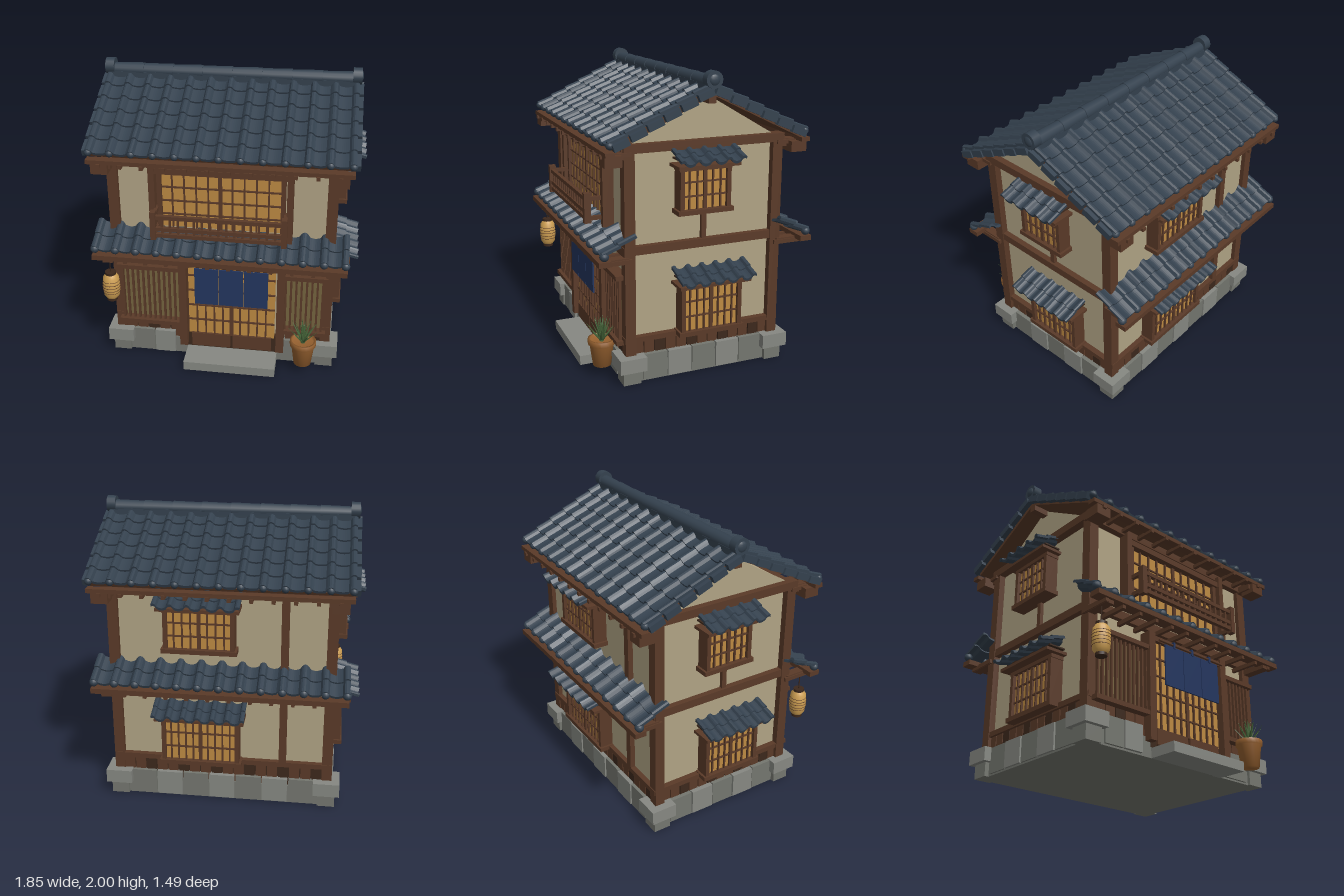
import * as THREE from 'three';

const mat = (color, extra = {}) => new THREE.MeshStandardMaterial({ color, ...extra });
const M = {
  wood: mat(0x5a3a28), dark: mat(0x3c281c), wall: mat(0xb0a384), amber: mat(0xbd8a42), blind: mat(0x75643f),
  tile: mat(0x34414e), stone: mat(0x868882), stone2: mat(0x74766f), cloth: mat(0x24365f), pot: mat(0x95602f),
  leaf: mat(0x47663a, { side: THREE.DoubleSide }), lantern: mat(0xcfa053),
};

function add(parent, name, geo, material, x = 0, y = 0, z = 0) {
  const m = new THREE.Mesh(geo, material);
  m.name = name;
  m.position.set(x, y, z);
  parent.add(m);
  return m;
}
// box given by its extents
const box = (p, name, m, x0, x1, y0, y1, z0, z1) => add(p, name,
  new THREE.BoxGeometry(x1 - x0, y1 - y0, z1 - z0), m, (x0 + x1) / 2, (y0 + y1) / 2, (z0 + z1) / 2);
function group(parent, name, ry = 0) {
  const g = new THREE.Group();
  g.name = name;
  g.rotation.y = ry;
  parent.add(g);
  return g;
}

// one course of tiles: rolls joined by sagging pans, extruded down the slope
function courseGeometry(width, cols, length, r, sag) {
  const period = width / cols, edge = 0.7 * r, n = cols * 12, top = [], low = [];
  for (let i = 0; i <= n; i++) {
    const x = -width / 2 - edge + (width + 2 * edge) * i / n;
    const u = (x + width / 2) / period, d = Math.abs(u - Math.round(u)) * period;
    const h = d < r ? Math.sqrt(r * r - d * d) : -sag * Math.sin(Math.PI * (d - r) / (period - 2 * r));
    top.push(new THREE.Vector2(x, h + 0.012));
    low.unshift(new THREE.Vector2(x, h - 0.006));
  }
  return new THREE.ExtrudeGeometry(new THREE.Shape([...top, ...low]), { depth: length, bevelEnabled: false });
}
// overlapping courses running from the local origin down towards +z
function tiledSlope(parent, name, { width, cols, y, z, y2, z2, rows, r, sag, caps }) {
  const g = group(parent, name), L = Math.hypot(z2 - z, y - y2), step = L / rows;
  g.position.set(0, y, z);
  g.rotation.x = Math.atan2(y - y2, z2 - z);
  const geo = courseGeometry(width, cols, step * 1.08, r, sag);
  for (let i = 0; i < rows; i++) add(g, 'tileCourse', geo, M.tile, 0, 0, i * step).rotation.x = -0.1;
  if (caps) for (let i = 0; i <= cols; i++)
    add(g, 'eaveCap', new THREE.SphereGeometry(r * 1.1, 10, 8), M.tile, -width / 2 + i * width / cols, 0.016, L);
  return g;
}

// lit panel with glazing bars
function lattice(p, x0, x1, y0, y1, z, nv, nh) {
  box(p, 'paperPanel', M.amber, x0, x1, y0, y1, z - 0.015, z);
  for (let i = 1; i < nv; i++) {
    const x = x0 + (x1 - x0) * i / nv, t = i * 2 === nv ? 0.012 : 0.005;
    box(p, 'latticeBar', M.wood, x - t, x + t, y0, y1, z, z + 0.014);
  }
  for (let i = 1; i < nh; i++) {
    const y = y0 + (y1 - y0) * i / nh;
    box(p, 'latticeRail', M.wood, x0, x1, y - 0.005, y + 0.005, z, z + 0.011);
  }
}
// bay window with lintel, sill and small tiled awning
function bayWindow(face, cx, w, y0, y1, wall) {
  const g = group(face, 'bayWindow'), a = w / 2;
  g.position.set(cx, 0, wall);
  lattice(g, -a, a, y0, y1, 0.07, Math.round(w / 0.105) * 2, 3);
  for (const s of [-1, 1]) box(g, 'windowJamb', M.wood, s * a - 0.014, s * a + 0.014, y0, y1, 0, 0.095);
  box(g, 'sill', M.wood, -a - 0.03, a + 0.03, y0 - 0.025, y0 + 0.005, 0, 0.105);
  box(g, 'windowHead', M.wood, -a - 0.02, a + 0.02, y1 - 0.015, y1 + 0.01, 0, 0.095);
  box(g, 'lintel', M.wood, -a - 0.05, a + 0.05, y1 + 0.01, y1 + 0.03, 0, 0.155);
  tiledSlope(g, 'awning', { width: w + 0.09, cols: Math.round((w + 0.09) / 0.105), y: y1 + 0.108, z: 0.02,
    y2: y1 + 0.045, z2: 0.195, rows: 2, r: 0.02, sag: 0.012 });
  box(g, 'awningBoard', M.dark, -a - 0.03, a + 0.03, y1 + 0.055, y1 + 0.065, 0, 0.12);
}
// row of wainscot boards
function planks(p, x0, x1, z) {
  const n = Math.round((x1 - x0) / 0.075), w = (x1 - x0) / n;
  box(p, 'wainscotBack', M.dark, x0, x1, 0.12, 0.28, z - 0.03, z);
  for (let i = 0; i < n; i++)
    box(p, 'wainscotPlank', i % 3 === 2 ? M.dark : M.wood, x0 + i * w + 0.004, x0 + (i + 1) * w - 0.004, 0.13, 0.28, z, z + 0.012);
}
function stones(p, x0, x1, z) {
  const n = Math.round((x1 - x0) / 0.18), w = (x1 - x0) / n;
  for (let i = 0; i < n; i++)
    box(p, 'footingStone', i % 2 ? M.stone : M.stone2, x0 + i * w + 0.004, x0 + (i + 1) * w - 0.004, 0.012, 0.186, z - 0.06, z + (i % 2) * 0.006);
}

export function createModel() {
  const root = new THREE.Group();
  root.name = 'townHouse';

  // footing and core walls
  box(root, 'footing', M.stone2, -0.75, 0.75, 0, 0.13, -0.55, 0.55);
  box(root, 'walls', M.wall, -0.71, 0.71, 0.12, 1.54, -0.515, 0.515);
  for (const sx of [-1, 1]) for (const sz of [-1, 1]) {
    const c = group(root, 'corner');
    c.position.set(sx * 0.72, 0, sz * 0.51);
    box(c, 'cornerStoneLow', M.stone2, -0.06, 0.06, 0, 0.1, -0.06, 0.06);
    box(c, 'cornerStone', M.stone, -0.09, 0.09, 0.095, 0.19, -0.09, 0.09);
    box(c, 'cornerPost', M.wood, -0.035, 0.035, 0.19, 1.54, -0.035, 0.035);
    // corbels under both eaves
    box(root, 'upperCorbel', M.wood, sx * 0.76 - 0.055, sx * 0.76 + 0.055, 1.45, 1.52, sz * 0.63 - 0.055, sz * 0.63 + 0.055);
    box(root, 'corbelArm', M.wood, sx * 0.72 - 0.03, sx * 0.72 + 0.03, 1.48, 1.53, sz * 0.58 - 0.08, sz * 0.58 + 0.08);
    box(root, 'lowerCorbel', M.wood, sx * 0.735 - 0.03, sx * 0.735 + 0.03, 0.82, 0.86, sz * 0.62 - 0.1, sz * 0.62 + 0.1);
  }

  // gable sides
  for (const s of [-1, 1]) {
    const g = group(root, 'gableSide', s * Math.PI / 2);
    planks(g, -0.49, 0.49, 0.72);
    stones(g, -0.43, 0.43, 0.76);
    for (const [y0, y1, d] of [[0.275, 0.31, 0.75], [0.865, 0.92, 0.75], [1.515, 1.57, 0.765]])
      box(g, 'tieBeam', M.wood, -0.55, 0.55, y0, y1, 0.68, d);
    box(g, 'middlePost', M.wood, -0.017, 0.017, 0.9, 1.52, 0.68, 0.735);
    bayWindow(g, -0.02, 0.32, 1.13, 1.4, 0.71);
    bayWindow(g, 0.035, 0.4, 0.31, 0.62, 0.71);
    const tri = new THREE.Shape([[-0.485, 1.565], [0.485, 1.565], [0, 1.85]].map(p => new THREE.Vector2(...p)));
    add(g, 'gableWall', new THREE.ExtrudeGeometry(tri, { depth: 0.03, bevelEnabled: false }), M.wall, 0, 0, 0.69);
    box(g, 'purlin', M.wood, -0.025, 0.025, 1.8, 1.85, 0.6, 0.83);
  }

  // both eaves: main roof slope, pent roof, beams and rafter ends
  for (const [name, ry] of [['frontEaves', 0], ['backEaves', Math.PI]]) {
    const g = group(root, name, ry);
    tiledSlope(g, 'mainRoof', { width: 1.66, cols: 12, y: 1.89, z: 0.0, y2: 1.575, z2: 0.65, rows: 6, r: 0.024, sag: 0.008, caps: true });
    const board = box(g, 'roofBoard', M.wood, -0.83, 0.83, -0.012, 0.012, 0, 0.7);
    board.position.set(0, 1.712, 0.316);
    board.rotation.x = 0.452;
    for (const s of [-1, 1]) for (let i = 0; i < 6; i++) {
      const t = (i + 0.52) / 6; // stepped verge tiles
      add(g, 'vergeTile', new THREE.BoxGeometry(0.035, 0.045, 0.105), M.tile, s * 0.857, 1.885 - 0.315 * t, 0.65 * t).rotation.x = 0.38;
    }
    box(g, 'eaveBeam', M.wood, -0.845, 0.845, 1.52, 1.548, 0.63, 0.69);
    box(g, 'wallPlate', M.wood, -0.75, 0.75, 1.49, 1.54, 0.5, 0.56);
    tiledSlope(g, 'pentRoof', { width: 1.65, cols: 12, y: 1.0, z: 0.49, y2: 0.897, z2: 0.695, rows: 2, r: 0.027, sag: 0.012, caps: true });
    box(g, 'pentBeam', M.wood, -0.84, 0.84, 0.845, 0.88, 0.66, 0.74);
    box(g, 'pentWallBeam', M.wood, -0.74, 0.74, 0.86, 0.92, 0.5, 0.55);
    for (let i = 0; i < 12; i++) {
      const x = -0.76 + i * 1.52 / 11;
      box(g, 'rafter', M.wood, x - 0.012, x + 0.012, 1.5, 1.525, 0.5, 0.7);
      box(g, 'pentRafter', M.wood, x - 0.012, x + 0.012, 0.822, 0.85, 0.5, 0.725);
    }
  }

  // ridge
  for (let i = 0; i < 8; i++) {
    const r = add(root, 'ridgeTile', new THREE.CylinderGeometry(0.043, 0.048, 0.205, 14), M.tile, -0.7 + i * 0.2, 1.925, 0);
    r.rotation.z = Math.PI / 2;
  }
  box(root, 'ridgeBase', M.tile, -0.84, 0.84, 1.87, 1.92, -0.045, 0.045);
  for (const s of [-1, 1]) {
    add(root, 'ridgeEnd', new THREE.CylinderGeometry(0.055, 0.055, 0.06, 16), M.tile, s * 0.83, 1.945, 0).rotation.z = Math.PI / 2;
    add(root, 'ridgeBoss', new THREE.SphereGeometry(0.04, 12, 8), M.tile, s * 0.85, 1.945, 0).scale.x = 0.5;
  }

  // back wall
  const back = group(root, 'backWall', Math.PI);
  planks(back, -0.69, 0.69, 0.525);
  stones(back, -0.64, 0.64, 0.56);
  box(back, 'sillBeam', M.wood, -0.74, 0.74, 0.275, 0.31, 0.5, 0.55);
  box(back, 'backPost', M.wood, 0.39, 0.44, 0.28, 1.52, 0.5, 0.55);
  bayWindow(back, -0.14, 0.44, 1.13, 1.4, 0.515);
  bayWindow(back, -0.14, 0.5, 0.31, 0.62, 0.515);

  // front upper storey: wide window and balcony rail
  const front = group(root, 'frontWall');
  lattice(front, -0.4, 0.39, 1.03, 1.42, 0.54, 10, 4);
  box(front, 'upperHead', M.wood, -0.45, 0.45, 1.425, 1.465, 0.51, 0.58);
  for (const s of [-1, 1]) {
    box(front, 'upperPost', M.wood, s * 0.45 - 0.02, s * 0.45 + 0.02, 0.98, 1.51, 0.51, 0.59);
    box(front, 'railPost', M.wood, s * 0.425 - 0.018, s * 0.425 + 0.018, 1.01, 1.21, 0.66, 0.705);
    for (const y of [1.04, 1.17]) box(front, 'railReturn', M.wood, s * 0.425 - 0.012, s * 0.425 + 0.012, y - 0.013, y + 0.013, 0.54, 0.67);
    box(front, 'windowStile', M.wood, s * 0.405 - 0.015, s * 0.405 + 0.015, 1.03, 1.43, 0.52, 0.565);
  }
  for (const y of [1.04, 1.085, 1.17]) box(front, 'balconyRail', M.wood, -0.43, 0.43, y - 0.013, y + 0.013, 0.67, 0.697);
  for (let i = 1; i < 16; i++) {
    const x = -0.42 + i * 0.0525;
    box(front, 'baluster', M.wood, x - 0.007, x + 0.007, 1.04, 1.17, 0.676, 0.69);
  }

  // front lower storey: doors and slatted windows
  lattice(front, -0.23, 0.37, 0.19, 0.79, 0.56, 10, 5);
  for (const [x0, x1] of [[-0.21, 0.06], [0.08, 0.35]]) box(front, 'doorPanel', M.wood, x0, x1, 0.09, 0.195, 0.52, 0.575);
  box(front, 'doorBack', M.dark, -0.25, 0.39, 0.07, 0.2, 0.5, 0.555);
  box(front, 'doorHead', M.wood, -0.25, 0.4, 0.78, 0.815, 0.51, 0.59);
  for (const x of [-0.265, 0.41]) box(front, 'doorPost', M.wood, x - 0.027, x + 0.027, 0.1, 0.83, 0.51, 0.6);
  for (const [x0, x1] of [[-0.69, -0.29], [0.44, 0.69]]) {
    box(front, 'blind', M.blind, x0, x1, 0.28, 0.71, 0.51, 0.53);
    const n = Math.round((x1 - x0) / 0.036);
    for (let i = 0; i <= n; i++) {
      const x = x0 + (x1 - x0) * i / n;
      box(front, 'slat', M.wood, x - 0.007, x + 0.007, 0.28, 0.71, 0.55, 0.57);
    }
    for (const y of [0.272, 0.715]) box(front, 'slatRail', M.wood, x0 - 0.03, x1 + 0.03, y - 0.015, y + 0.015, 0.51, 0.595);
    planks(front, x0, x1, 0.53);
    stones(front, x0 + (x0 < 0 ? 0.06 : -0.04), x1 - (x0 < 0 ? 0.04 : 0.06), 0.565);
  }
  box(front, 'doorStep', M.stone, -0.245, 0.39, 0, 0.065, 0.54, 0.745);

  // entrance curtain: three cloths on a rod
  const curtain = group(root, 'doorCurtain');
  add(curtain, 'curtainRod', new THREE.CylinderGeometry(0.008, 0.008, 0.6, 8), M.wood, 0.075, 0.775, 0.62).rotation.z = Math.PI / 2;
  for (let i = 0; i < 3; i++) {
    const x = -0.175 + i * 0.168;
    box(curtain, 'cloth', M.cloth, x, x + 0.163, 0.48, 0.76, 0.614, 0.624);
    box(curtain, 'clothLoop', M.cloth, x + 0.073, x + 0.089, 0.75, 0.795, 0.608, 0.63);
  }

  // hanging lantern
  const lamp = group(root, 'lantern');
  lamp.position.set(-0.745, 0.6, 0.655);
  const barrel = [[0.035, -0.095], [0.053, -0.07], [0.059, -0.02], [0.059, 0.02], [0.053, 0.07], [0.035, 0.095]];
  add(lamp, 'lanternPaper', new THREE.LatheGeometry(barrel.map(p => new THREE.Vector2(...p)), 18), M.lantern);
  for (const s of [-1, 1]) add(lamp, 'lanternCap', new THREE.CylinderGeometry(0.037, 0.037, 0.022, 16), M.dark, 0, s * 0.1, 0);
  for (let i = -3; i <= 3; i++)
    add(lamp, 'lanternRib', new THREE.TorusGeometry(0.06 - 0.0011 * i * i, 0.002, 5, 20), M.wood, 0, i * 0.022, 0).rotation.x = Math.PI / 2;
  add(lamp, 'lanternCord', new THREE.CylinderGeometry(0.004, 0.004, 0.15, 6), M.dark, 0, 0.18, 0);

  // potted plant
  const plant = group(root, 'pottedPlant');
  plant.position.set(0.575, 0.08, 0.65);
  const pot = [[0, 0], [0.06, 0], [0.08, 0.15], [0.09, 0.15], [0.09, 0.185], [0.076, 0.185], [0.073, 0.165], [0, 0.165]];
  add(plant, 'pot', new THREE.LatheGeometry(pot.map(p => new THREE.Vector2(...p)), 20), M.pot);
  const blade = new THREE.ConeGeometry(0.015, 0.17, 4).translate(0, 0.085, 0).scale(1, 1, 0.4);
  for (let i = 0; i < 21; i++) {
    const leaf = add(plant, 'leaf', blade, M.leaf, 0, 0.165, 0);
    leaf.rotation.set(0.15 + 0.28 * (i % 3), i * 2.4, 0, 'YXZ');
  }
  return root;
}
